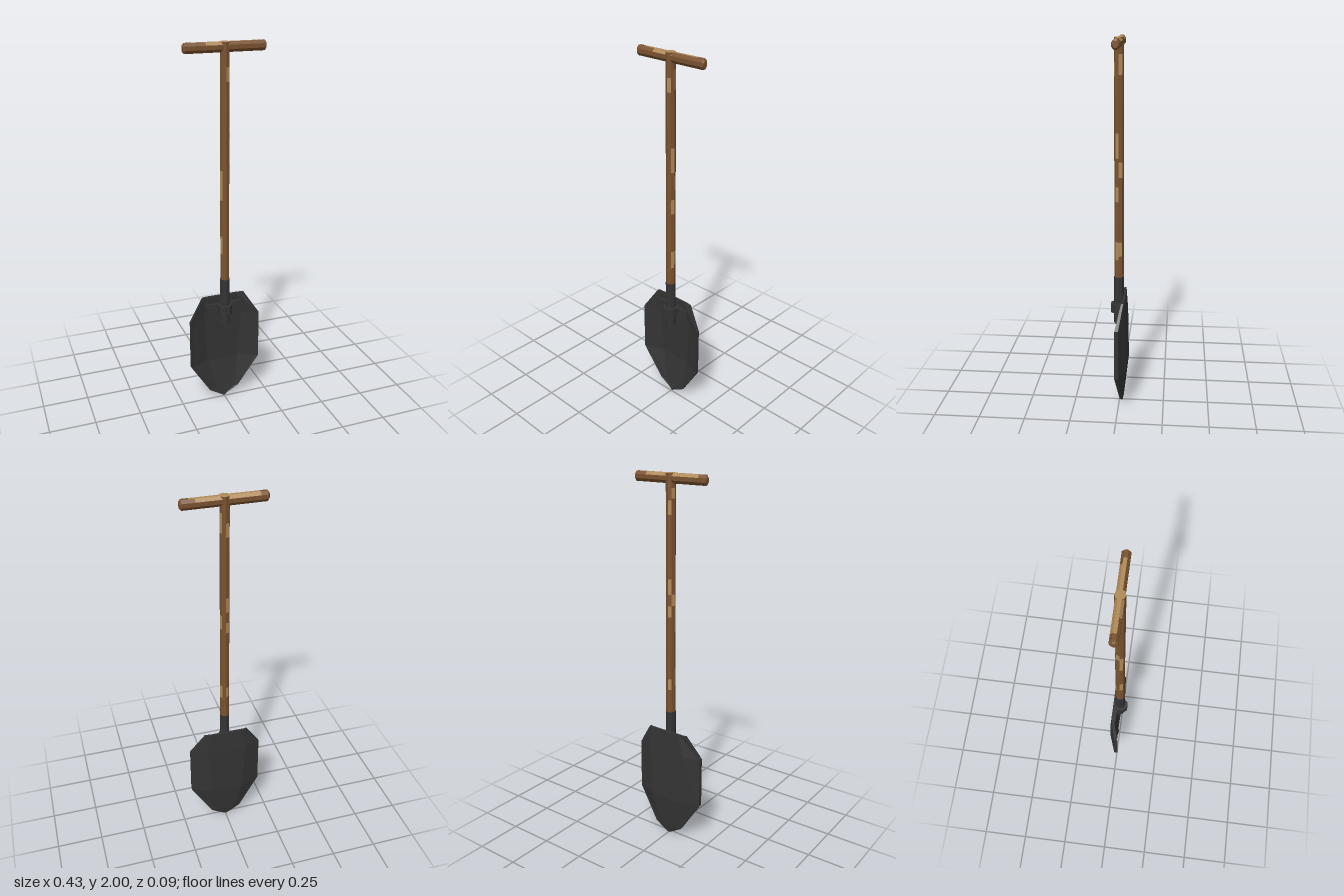
import * as THREE from 'three';

const flat = (name, color, side = THREE.FrontSide) => {
  const m = new THREE.MeshStandardMaterial({ color, side });
  m.name = name;
  return m;
};

// Skin a list of equal-sized point loops (listed top to bottom) and cap both ends
function skin(loops) {
  const n = loops[0].length, pos = [];
  const tri = (a, b, c) => pos.push(...a, ...b, ...c);
  for (let r = 0; r < loops.length - 1; r++) {
    for (let i = 0; i < n; i++) {
      const j = (i + 1) % n, A = loops[r], B = loops[r + 1];
      tri(A[i], B[i], B[j]);
      tri(A[i], B[j], A[j]);
    }
  }
  const top = loops[0], end = loops[loops.length - 1];
  // The loops mirror across x, so caps are strips between back and front points
  for (let i = 0; i < n / 2 - 1; i++) {
    const k = n - 1 - i;
    tri(top[i], top[i + 1], top[k - 1]);
    tri(top[i], top[k - 1], top[k]);
    tri(end[i], end[k - 1], end[i + 1]);
    tri(end[i], end[k], end[k - 1]);
  }
  const g = new THREE.BufferGeometry();
  g.setAttribute('position', new THREE.Float32BufferAttribute(pos, 3));
  g.computeVertexNormals();
  return g;
}

// Eight-sided pole along y; patches [facet, low, high] take the second material
function pole(y0, y1, radius, turn, patches) {
  const pos = [], g = new THREE.BufferGeometry();
  const corner = (i, y) => {
    const a = turn + (i * Math.PI) / 4;
    return [Math.sin(a) * radius, y, Math.cos(a) * radius];
  };
  for (let f = 0; f < 8; f++) {
    const mine = patches.filter((p) => p[0] === f);
    const cuts = [y0, ...mine.flatMap((p) => [p[1], p[2]]), y1].sort((a, b) => a - b);
    for (let k = 0; k < cuts.length - 1; k++) {
      const a = corner(f, cuts[k]), b = corner(f + 1, cuts[k]);
      const c = corner(f + 1, cuts[k + 1]), d = corner(f, cuts[k + 1]);
      g.addGroup(pos.length / 3, 6, k % 2);
      pos.push(...a, ...b, ...c, ...a, ...c, ...d);
    }
  }
  g.setAttribute('position', new THREE.Float32BufferAttribute(pos, 3));
  g.computeVertexNormals();
  return g;
}

export function createModel() {
  const group = new THREE.Group();
  const wood = flat('brown wood', 0x7a5230);
  const worn = flat('worn pale wood', 0xb08a58);
  const metal = flat('dark metal', 0x343434, THREE.DoubleSide);
  const add = (name, geometry, material, parent = group) => {
    const mesh = new THREE.Mesh(geometry, material);
    mesh.name = name;
    parent.add(mesh);
    return mesh;
  };

  // Shaft with worn patches
  add('shaft', pole(0.72, 1.999, 0.025, 0, [
    [0, 1.81, 1.88],
    [1, 0.85, 0.95], [1, 1.17, 1.25], [1, 1.4, 1.53],
    [2, 0.87, 0.95], [2, 1.3, 1.38], [2, 1.82, 1.92],
    [4, 0.88, 0.94], [4, 1.28, 1.34], [4, 1.4, 1.48], [4, 1.8, 1.87],
    [5, 1.34, 1.4], [5, 1.88, 1.93],
    [6, 0.9, 1.0], [6, 1.2, 1.36],
  ]), [wood, worn]).position.z = 0.002;
  const shaftTop = add('shaftTop', new THREE.CircleGeometry(0.025, 8).rotateX(-Math.PI / 2), worn);
  shaftTop.position.set(0, 2, 0.002);

  // Crossbar handle: pole laid along x, with chamfered ends
  const handle = new THREE.Group();
  handle.name = 'handle';
  handle.position.set(0, 1.975, 0.002);
  const flatTurn = Math.PI / 8;
  const lay = (g) => g.rotateZ(-Math.PI / 2).scale(1, 1, 0.8);
  const r = 0.025 / Math.cos(flatTurn);
  // Facet 5 faces up, 4 up and back, 1 down
  add('crossbar', lay(pole(-0.205, 0.205, r, flatTurn, [
    [5, -0.17, 0.17], [4, -0.17, 0.14], [6, -0.1, 0.02], [1, 0.03, 0.17],
  ])), [wood, worn], handle);
  for (const s of [-1, 1]) {
    const tip = new THREE.CylinderGeometry(s > 0 ? r * 0.6 : r, s > 0 ? r : r * 0.6, 0.008, 8, 1, false, flatTurn)
      .toNonIndexed();
    tip.computeVertexNormals();
    add(s > 0 ? 'leftHandleEnd' : 'rightHandleEnd', lay(tip), wood, handle).position.x = s * 0.209;
  }
  group.add(handle);

  // Metal socket round the foot of the shaft
  const socket = new THREE.CylinderGeometry(0.027, 0.027, 0.27, 8).toNonIndexed();
  socket.computeVertexNormals();
  add('socket', socket, metal).position.set(0, 0.615, 0.003);

  // Strap that wraps the socket and lies on the blade
  const half = [[0.105, -0.03], [0.105, -0.012], [0.038, -0.01], [0.036, 0.022], [0.016, 0.045]];
  const outline = [...half, ...half.map(([x, z]) => [-x, z]).reverse()];
  const strapShape = new THREE.Shape(outline.map(([x, z]) => new THREE.Vector2(x, -z)));
  add('strap', new THREE.ExtrudeGeometry(strapShape, { depth: 0.05, bevelEnabled: false })
    .rotateX(-Math.PI / 2), metal).position.y = 0.545;

  // Dished blade: [y, half width, crease x, back z, edge z, rim height]
  const rows = [
    [0.64, 0.12, 0.08, -0.034, -0.03, 0.012],
    [0.515, 0.2, 0.11, -0.04, -0.008, 0.02],
    [0.235, 0.2, 0.09, -0.047, -0.008, 0.02],
    [0.05, 0.085, 0.045, -0.027, -0.02, 0.012],
    [0.018, 0.035, 0.02, -0.021, -0.019, 0.009],
    [0, 0.006, 0.003, -0.018, -0.017, 0.006],
  ];
  const loops = rows.map(([y, w, m, back, edge, rim]) => {
    const inner = Math.max(w - 0.014, w * 0.75);
    const side = [[m, back], [w, edge], [w, edge + rim], [inner, edge + rim * 0.6], [m, back + 0.012]];
    const left = side.map(([x, z]) => [x, y, z]);
    const right = side.map(([x, z]) => [-x, y, z]).reverse();
    // Back points run from right to left, front points return
    return [right[3], right[4], left[0], left[1], left[2], left[3], left[4], right[0], right[1], right[2]];
  });
  add('blade', skin(loops.map((l) => l.slice().reverse())), metal);

  return group;
}
